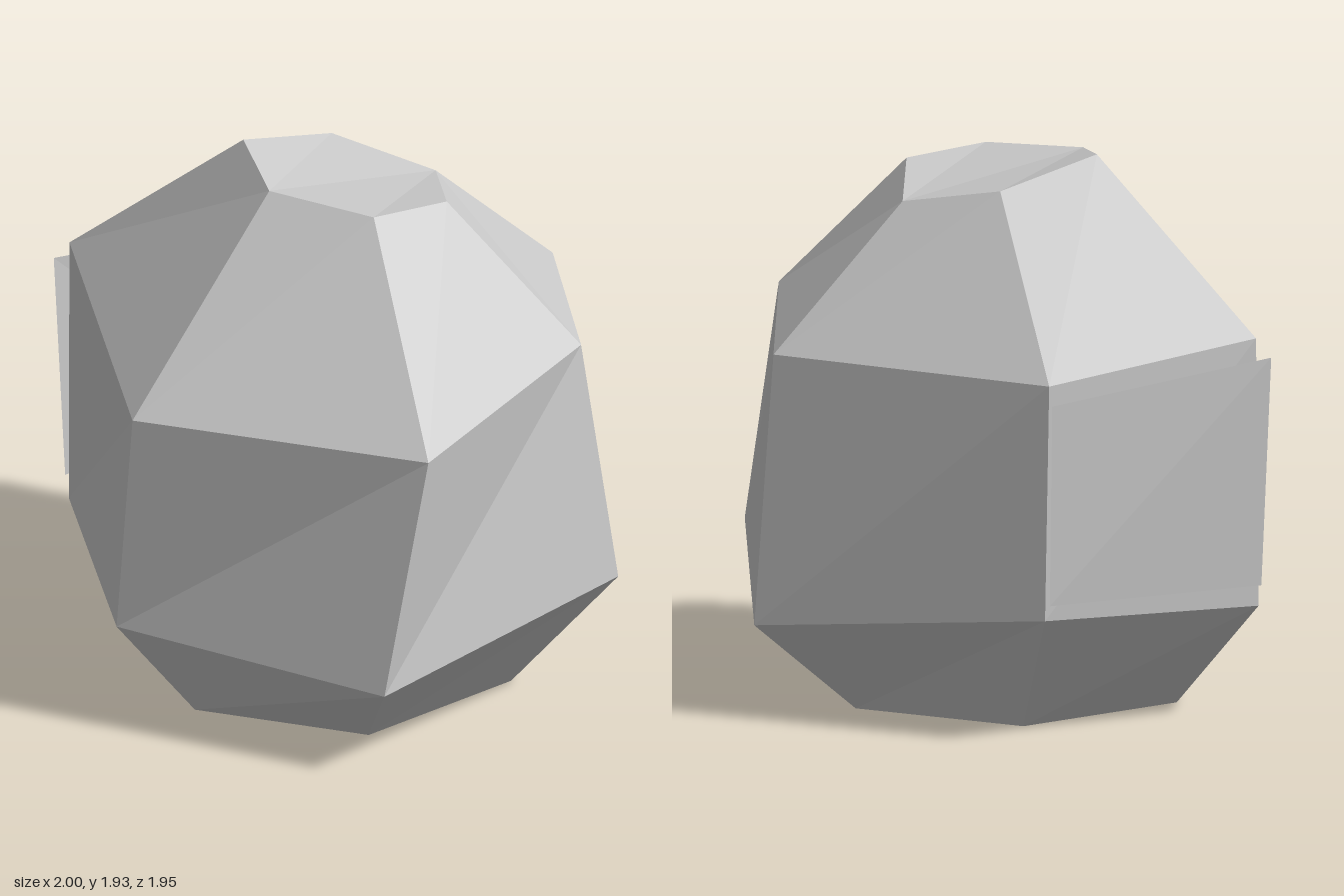
import * as THREE from 'three';

// Six-cornered rings from the base to the crown, each running +x, +z, -x, -z
const RINGS = [
  [[0.615, 0, 0.02], [0.285, 0, 0.595], [-0.375, 0, 0.6], [-0.7, 0, 0.05], [-0.375, 0, -0.51], [0.29, 0, -0.55]],
  [[0.998, 0.33, 0.08], [0.45, 0.49, 0.975], [-0.575, 0.325, 0.915], [-1, 0.39, -0.02], [-0.465, 0.402, -0.893], [0.41, 0.445, -0.87]],
  [[0.905, 1.28, 0.1], [0.4, 1.35, 0.835], [-0.42, 1.2, 0.97], [-0.983, 1.205, 0.045], [-0.43, 1.365, -0.93], [0.37, 1.27, -0.835]],
  [[0.37, 1.765, 0.095], [0.14, 1.835, 0.42], [-0.17, 1.86, 0.39], [-0.34, 1.885, 0.03], [-0.2, 1.93, -0.27], [0.19, 1.84, -0.25]],
];

// Thin loose slab standing just off the back face
const SLAB = [[0.39, 1.21, -0.885], [0.4, 0.5, -0.885], [-0.46, 0.48, -0.918], [-0.465, 1.3, -0.973]];

function facetMesh(name, triangles, material) {
  const geometry = new THREE.BufferGeometry();
  geometry.setAttribute('position', new THREE.Float32BufferAttribute(triangles.flat(2), 3));
  geometry.computeVertexNormals();
  const mesh = new THREE.Mesh(geometry, material);
  mesh.name = name;
  return mesh;
}

export function createModel() {
  const group = new THREE.Group();
  group.name = 'rock';
  const stone = new THREE.MeshStandardMaterial({ color: 0xcacaca, flatShading: true, side: THREE.DoubleSide });
  stone.name = 'grey stone';

  // Side facets between neighbouring rings
  const tris = [];
  for (let r = 0; r < RINGS.length - 1; r++) {
    const low = RINGS[r], high = RINGS[r + 1];
    for (let i = 0; i < 6; i++) {
      const j = (i + 1) % 6;
      tris.push([low[j], low[i], high[i]], [low[j], high[i], high[j]]);
    }
  }

  // Flat base and uneven crown
  const base = RINGS[0], crown = RINGS[3];
  for (let i = 1; i < 5; i++) tris.push([base[0], base[i], base[i + 1]]);
  for (const face of [[2, 1, 0], [3, 2, 0], [3, 0, 5], [3, 5, 4]]) tris.push(face.map((k) => crown[k]));
  group.add(facetMesh('boulder', tris, stone));

  // Slab split along the same diagonal as the face behind it
  const [a, b, c, d] = SLAB;
  group.add(facetMesh('backSlab', [[a, b, d], [b, c, d]], stone));
  return group;
}
